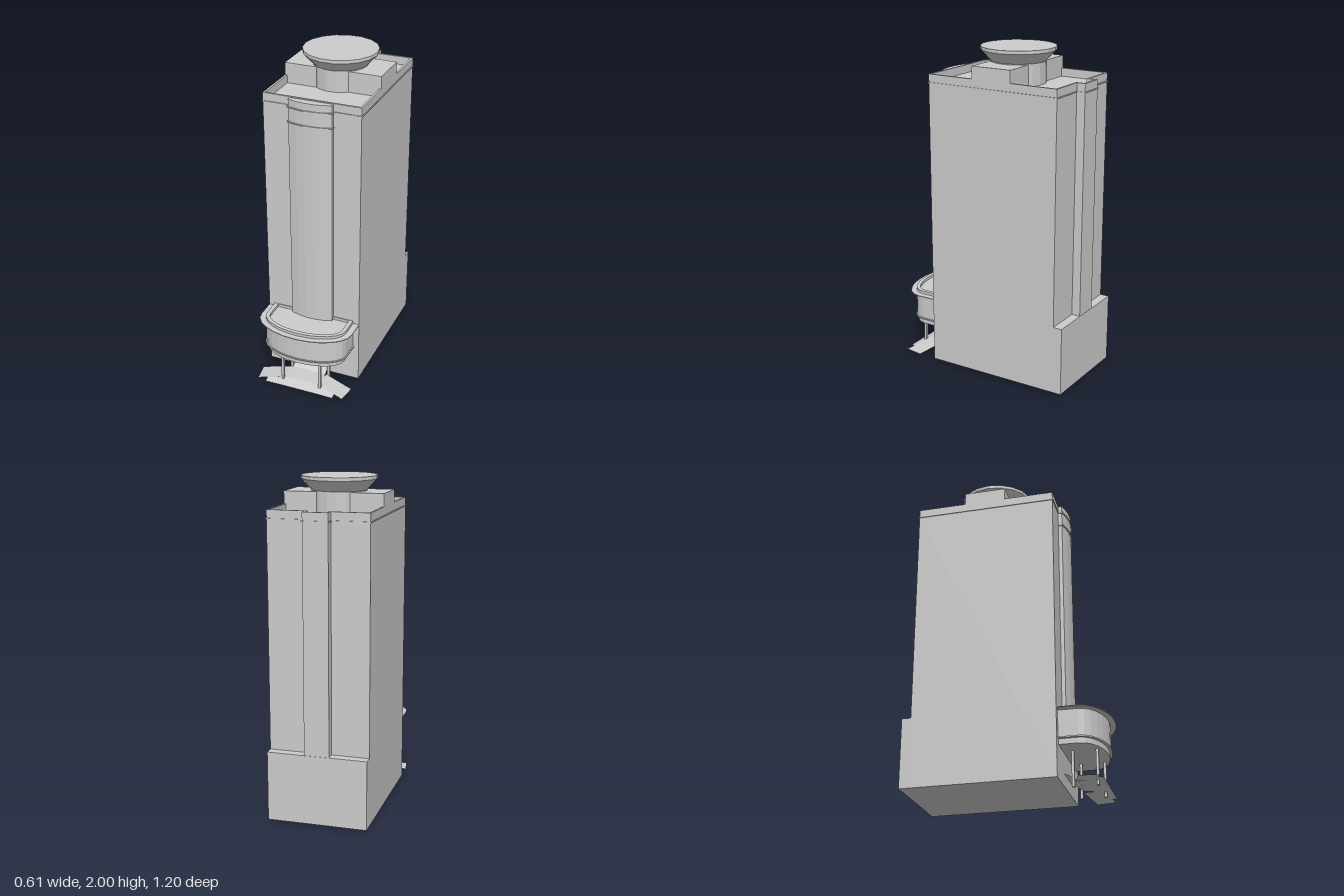
import * as THREE from 'three';

const mat = new THREE.MeshStandardMaterial({ color: 0xcccccc, flatShading: true, side: THREE.DoubleSide });

export function createModel() {
  const root = new THREE.Group();
  const add = (name, geo, x = 0, y = 0, z = 0) => {
    const m = new THREE.Mesh(geo, mat);
    m.name = name;
    m.position.set(x, y, z);
    root.add(m);
    return m;
  };
  // Box given by its limits on each axis
  const box = (name, x0, x1, y0, y1, z0, z1) =>
    add(name, new THREE.BoxGeometry(x1 - x0, y1 - y0, z1 - z0), (x0 + x1) / 2, (y0 + y1) / 2, (z0 + z1) / 2);
  // Plan outline of [x, z] points, raised from y0 to y1, with an optional hole
  const toPlan = (pts) => pts.map(([x, z]) => new THREE.Vector2(x, -z));
  const prism = (name, pts, y0, y1, hole) => {
    const s = new THREE.Shape(toPlan(pts));
    if (hole) s.holes.push(new THREE.Path(toPlan(hole)));
    const g = new THREE.ExtrudeGeometry(s, { depth: y1 - y0, bevelEnabled: false });
    return add(name, g.rotateX(-Math.PI / 2), 0, y0, 0);
  };

  // Tower outline with the narrow rear pilaster; e grows it outwards
  const tower = (e) => [
    [-0.3 - e, 0.315 + e], [0.3 + e, 0.315 + e], [0.3 + e, -0.545 - e], [0.075 + e, -0.545 - e],
    [0.075 + e, -0.598 - e], [-0.075 - e, -0.598 - e], [-0.075 - e, -0.545 - e], [-0.3 - e, -0.545 - e],
  ];
  prism('towerBody', tower(0), 0.01, 1.785);
  prism('roofParapet', tower(0), 1.785, 1.835, tower(-0.013));
  prism('corniceTrim', tower(0.005), 1.78, 1.787, tower(-0.001));
  box('rearBase', -0.3, 0.3, 0.01, 0.43, -0.6, -0.54);

  // Shallow curved pilaster on the front
  const pilaster = (e) => [
    [-0.133 - e, 0.312], [-0.133 - e, 0.338 + e], [-0.08, 0.354 + e], [-0.03, 0.362 + e],
    [0.03, 0.362 + e], [0.08, 0.354 + e], [0.133 + e, 0.338 + e], [0.133 + e, 0.312],
  ];
  prism('frontPilaster', pilaster(0), 0.3, 1.83);
  for (const y of [1.69, 1.78]) prism('pilasterTrim', pilaster(0.006), y, y + 0.007);

  // Rooftop housing and flared water tank
  box('roofHousing', -0.3, 0.3, 1.78, 1.91, -0.245, 0.012);
  const profile = [[0, 1.78], [0.165, 1.78], [0.165, 1.915], [0.225, 1.98], [0.225, 2], [0, 2]];
  const tank = add('roofTank', new THREE.LatheGeometry(profile.map((p) => new THREE.Vector2(...p)), 18), 0, 0, -0.117);
  tank.rotation.y = Math.PI / 18;

  // Rounded entrance bay
  const bay = (w, front, back = 0.315) => {
    const pts = [[w, back]];
    for (let i = 0; i <= 12; i++) {
      const t = (i / 12) * Math.PI;
      pts.push([w * Math.cos(t), 0.43 + (front - 0.43) * Math.sin(t)]);
    }
    pts.push([-w, back]);
    return pts;
  };
  prism('bayFoot', bay(0.252, 0.557), 0.21, 0.245);
  prism('bayLowerTrim', bay(0.27, 0.572), 0.243, 0.251);
  prism('bayWall', bay(0.262, 0.565), 0.25, 0.415);
  prism('bayRim', bay(0.262, 0.565), 0.415, 0.433, bay(0.237, 0.541, 0.32));
  prism('bayLip', bay(0.3, 0.6), 0.41, 0.415);

  // Slender porch posts
  for (const s of [-1, 1])
    for (const z of [0.37, 0.51]) box('porchPost', s * 0.123 - 0.008, s * 0.123 + 0.008, 0, 0.215, z - 0.008, z + 0.008);

  // Ground ramps: strips of thin surface between paired edge points
  const strip = (name, rows) => {
    const idx = [];
    for (let i = 0; i < rows.length - 1; i++) idx.push(2 * i, 2 * i + 2, 2 * i + 1, 2 * i + 1, 2 * i + 2, 2 * i + 3);
    const g = new THREE.BufferGeometry();
    g.setAttribute('position', new THREE.Float32BufferAttribute(rows.flat(2), 3));
    g.setIndex(idx);
    g.computeVertexNormals();
    add(name, g);
  };
  const row = (w, y, z) => [[-w, y, z], [w, y, z]];
  strip('entranceRamp', [row(0.11, 0.085, 0.315), row(0.11, 0.075, 0.34), row(0.11, 0.04, 0.39),
    row(0.115, 0.035, 0.5), row(0.115, 0.012, 0.56)]);
  for (const s of [-1, 1]) {
    strip('sideRamp', [
      [[s * 0.11, 0.035, 0.38], [s * 0.11, 0.035, 0.5]],
      [[s * 0.3, 0.01, 0.43], [s * 0.282, 0.01, 0.545]],
    ]);
    strip('rampCorner', [
      [[s * 0.11, 0.035, 0.5], [s * 0.115, 0.012, 0.56]],
      [[s * 0.225, 0.018, 0.53], [s * 0.225, 0.01, 0.56]],
    ]);
  }
  return root;
}
